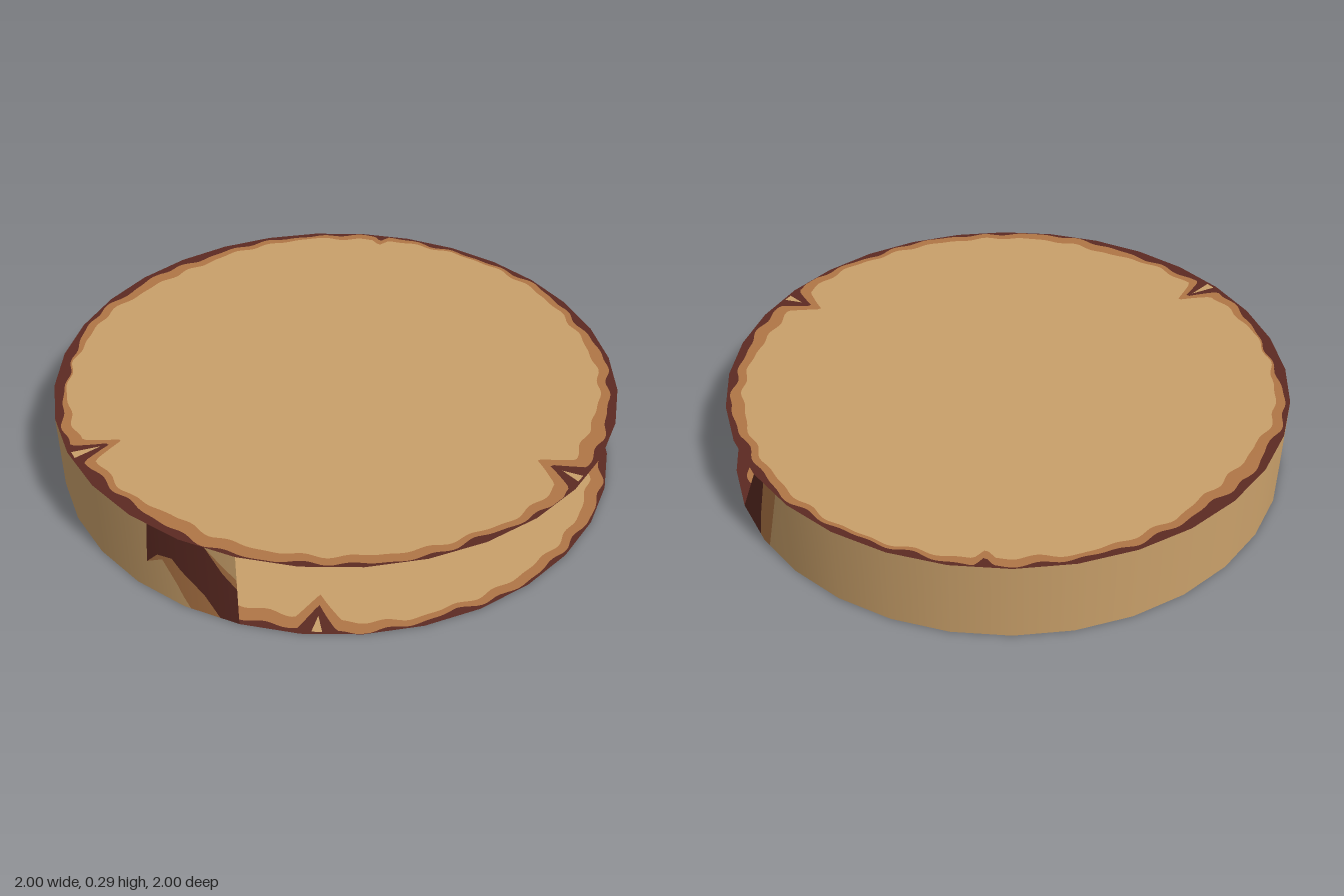
import * as THREE from 'three';
import { mergeGeometries } from 'three/addons/utils/BufferGeometryUtils.js';

const HEIGHT = 0.29, SIDES = 32, STEP = 360 / SIDES;
const rad = THREE.MathUtils.degToRad;

// Rim outlines: radius every 10 degrees, from +x towards +z
const HEARTWOOD = [.94, .938, .94, .93, .918, .93, .945, .96, .95, .955, .95, .95,
  .948, .938, .917, .937, .93, .94, .945, .955, .95, .945, .95, .925,
  .92, .915, .937, .945, .96, .95, .96, .96, .963, .96, .955, .945];
const BARK = [.965, .985, .97, .965, .975, .975, .993, .985, .97, .99, .985, .98,
  .99, .985, .965, .957, .957, .985, .975, .96, .956, .975, .985, .962,
  .975, .952, .965, .975, .975, .985, .99, .975, .975, .975, .985, .97];

// Cracks in the rim: angle, depth, half width in degrees, and pale splinter inside
const CRACKS = [
  { at: 53, depth: 0.11, width: 3.6, splinter: 0.92 },
  { at: 167.6, depth: 0.13, width: 3, splinter: 0.89 },
  { at: 297.5, depth: 0.035, width: 1.6 },
];

const polygonRadius = a => {
  const off = ((a % STEP) + STEP) % STEP - STEP / 2;
  return Math.cos(rad(STEP / 2)) / Math.cos(rad(off));
};

function rimRadius(table, a, widen) {
  a = ((a % 360) + 360) % 360;
  const i = Math.floor(a / 10), t = a / 10 - i;
  let r = THREE.MathUtils.lerp(table[i % 36], table[(i + 1) % 36], t);
  r += 0.005 * Math.sin(rad(a * 31)) + 0.004 * Math.sin(rad(a * 47 + 60));
  for (const c of CRACKS) {
    const d = Math.abs(a - c.at) / (c.width * widen);
    if (d < 1) r -= c.depth * (1 - d);
  }
  return r;
}

// One round face, split into heartwood, sapwood ring, bark ring and splinters
function makeCap(top, mats) {
  const pattern = a => (top ? a : 162.6 - a);
  const point = (a, r) => new THREE.Vector2(r * Math.cos(rad(a)), r * Math.sin(rad(a)) * (top ? -1 : 1));
  const ring = (fn, step) => {
    const pts = [];
    for (let a = 0; a < 360; a += step) pts.push(point(a, fn(a)));
    return pts;
  };
  const barkR = a => Math.min(rimRadius(BARK, pattern(a), 1), polygonRadius(a) - 0.002);
  const heartR = a => Math.min(rimRadius(HEARTWOOD, pattern(a), 1.25), barkR(a) - 0.006);
  const barkEdge = ring(barkR, 0.75), heartEdge = ring(heartR, 0.75);

  const bark = new THREE.Shape(ring(() => 1, STEP));
  bark.holes.push(new THREE.Path(barkEdge));
  const sap = new THREE.Shape(barkEdge);
  sap.holes.push(new THREE.Path(heartEdge));
  const heart = [new THREE.Shape(heartEdge)];
  for (const c of CRACKS.filter(k => k.splinter)) {
    const a = pattern(c.at);
    const pts = [point(a, c.splinter), point(a - 1, 0.988), point(a + 1, 0.988)];
    bark.holes.push(new THREE.Path(pts));
    heart.push(new THREE.Shape(pts));
  }

  const cap = new THREE.Group();
  cap.name = top ? 'topFace' : 'bottomFace';
  const add = (name, shape, mat) => {
    const geo = new THREE.ShapeGeometry(shape).rotateX(top ? -Math.PI / 2 : Math.PI / 2);
    const mesh = new THREE.Mesh(geo, mat);
    mesh.name = name;
    cap.add(mesh);
  };
  add('heartwood', heart, mats.wood);
  add('sapwoodRing', sap, mats.sapwood);
  add('barkRing', bark, mats.bark);
  cap.position.y = top ? HEIGHT : 0;
  return cap;
}

// Side wall patches as [angle, height] outlines; the wall is open at the front
const WALL = {
  wood: [
    [[133.6, 0], [136, .08], [139.3, .165], [143.2, .12], [142.2, .29], [341.3, .29], [346.7, 0]],
    [[129.8, .29], [123.75, .29], [123.75, .19], [127, .24]],
  ],
  sapwood: [
    [[143.2, .12], [140.4, .175], [136.9, .19], [130.5, .08], [127.6, 0], [133.6, 0], [136, .08], [139.3, .165]],
    [[129.8, .29], [127, .24], [123.75, .19], [123.75, .15], [126.5, .2]],
    [[341.3, .29], [345.5, .29], [350.5, 0], [346.7, 0]],
  ],
  bark: [
    [[143.2, .12], [142.2, .29], [129.8, .29], [126.5, .2], [123.75, .15], [123.75, 0], [127.6, 0],
      [130.5, .08], [136.9, .19], [140.4, .175]],
    [[345.5, .29], [348.75, .29], [360, 0], [350.5, 0]],
  ],
};

// Keep the part of an outline on one side of an angle
function clip(poly, limit, sign) {
  const out = [];
  poly.forEach((p, i) => {
    const q = poly[(i + 1) % poly.length];
    const dp = (p[0] - limit) * sign, dq = (q[0] - limit) * sign;
    if (dp >= 0) out.push(p);
    if (dp * dq < 0) out.push([limit, p[1] + (q[1] - p[1]) * dp / (dp - dq)]);
  });
  return out;
}

// Cut the outlines at every facet and bend them round the rim
function wallGeometry(polys) {
  const parts = [];
  for (const poly of polys) for (let i = 0; i < SIDES; i++) {
    const a0 = i * STEP, a1 = a0 + STEP;
    const piece = clip(clip(poly, a0, 1), a1, -1);
    if (piece.length < 3 || Math.max(...piece.map(p => p[0])) - Math.min(...piece.map(p => p[0])) < 1e-4) continue;
    const geo = new THREE.ShapeGeometry(new THREE.Shape(piece.map(p => new THREE.Vector2(-p[0], p[1]))));
    const pos = geo.attributes.position, nor = geo.attributes.normal;
    for (let k = 0; k < pos.count; k++) {
      const a = -pos.getX(k), t = (a - a0) / STEP;
      const mix = f => THREE.MathUtils.lerp(f(rad(a0)), f(rad(a1)), t);
      pos.setXYZ(k, mix(Math.cos), pos.getY(k), mix(Math.sin));
      nor.setXYZ(k, Math.cos(rad(a)), 0, Math.sin(rad(a)));
    }
    parts.push(geo);
  }
  return mergeGeometries(parts);
}

export function createModel() {
  const material = (name, color) => {
    const m = new THREE.MeshStandardMaterial({ color, side: THREE.DoubleSide });
    m.name = name;
    return m;
  };
  const mats = {
    wood: material('pale wood', 0xc9a06a),
    sapwood: material('orange sapwood', 0xb07646),
    bark: material('dark bark', 0x5c2a22),
  };

  const model = new THREE.Group();
  model.name = 'woodSlice';
  model.add(makeCap(true, mats), makeCap(false, mats));

  const wall = new THREE.Group();
  wall.name = 'sideWall';
  for (const key of Object.keys(WALL)) {
    const mesh = new THREE.Mesh(wallGeometry(WALL[key]), mats[key]);
    mesh.name = key + 'Wall';
    wall.add(mesh);
  }
  model.add(wall);
  return model;
}
